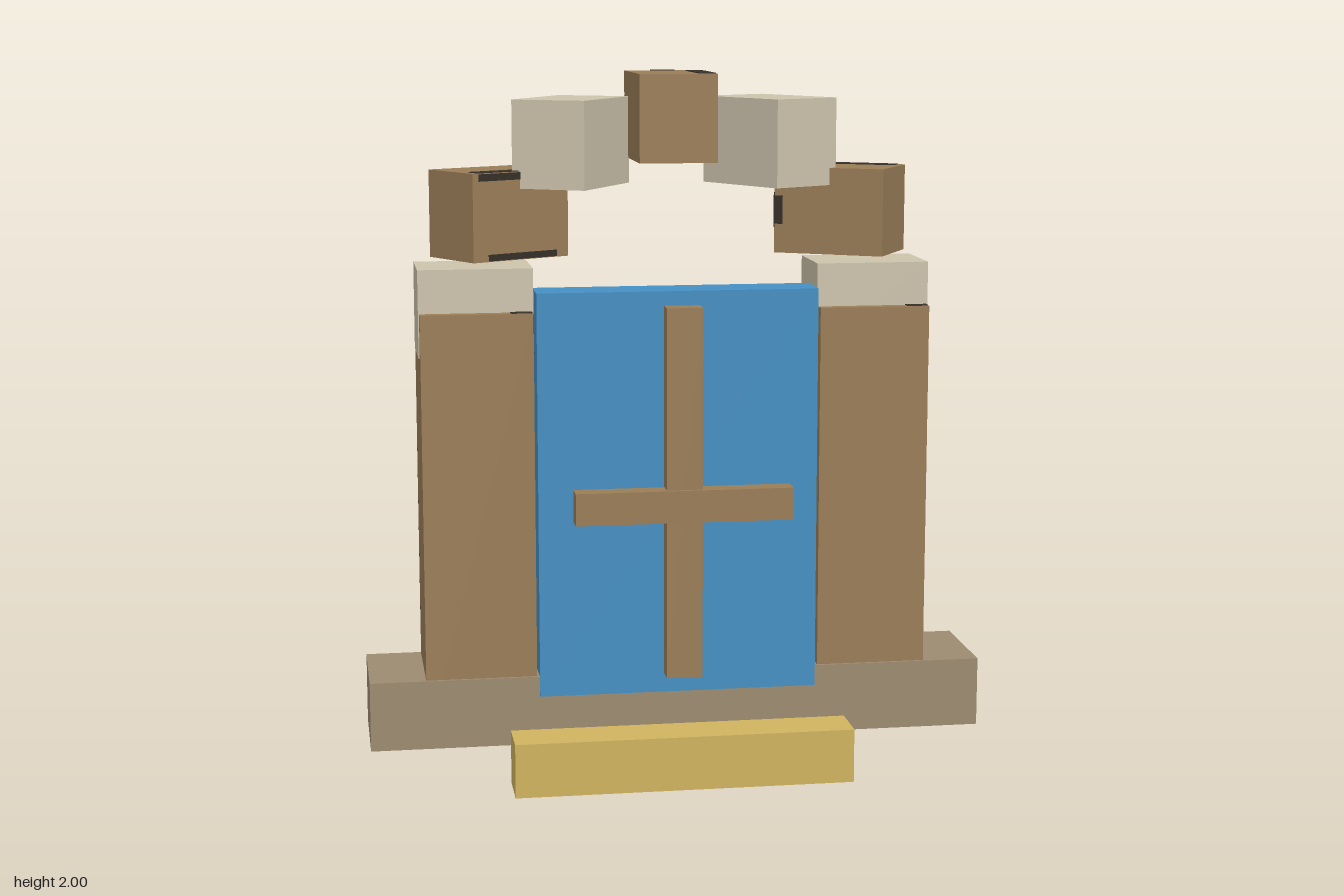
import * as THREE from 'three';

const mat = (name, color) => new THREE.MeshStandardMaterial({ name, color });

export function createModel() {
  const root = new THREE.Group();
  root.name = 'archedWindow';
  const wood = mat('brown', 0x9a7d57);
  const pale = mat('paleStone', 0xcdc3ac);
  const stone = mat('greyBrownStone', 0x9d8b71);
  const gold = mat('ochre', 0xd0b360);
  const blue = mat('blueGlass', 0x458fc2);
  const dark = mat('darkStain', 0x37302a);

  // Box given by its limits on each axis
  function slab(parent, name, material, [x0, x1], [y0, y1], [z0, z1]) {
    const m = new THREE.Mesh(new THREE.BoxGeometry(x1 - x0, y1 - y0, z1 - z0), material);
    m.position.set((x0 + x1) / 2, (y0 + y1) / 2, (z0 + z1) / 2);
    m.name = name;
    parent.add(m);
    return m;
  }
  const thin = (v) => [v - 0.002, v + 0.002];

  // Base, front step and window pane
  slab(root, 'base', stone, [-0.88, 0.88], [0.11, 0.308], [-0.213, 0.102]);
  slab(root, 'frontStep', gold, [-0.485, 0.482], [0, 0.155], [0.108, 0.246]);
  slab(root, 'pane', blue, [-0.4, 0.395], [0.25, 1.402], [-0.03, 0.105]);

  // Crossed window bars
  slab(root, 'verticalBar', wood, [-0.052, 0.049], [0.32, 1.368], [0.156, 0.214]);
  slab(root, 'horizontalBar', wood, [-0.308, 0.304], [0.768, 0.859], [0.166, 0.226]);

  // Pillars with capitals and dark stains
  for (const [side, c] of [['right', -0.564], ['left', 0.561]]) {
    const g = new THREE.Group();
    g.name = side + 'Pillar';
    g.position.x = c;
    slab(g, 'shaft', wood, [-0.157, 0.157], [0.115, 1.345], [-0.2, 0.094]);
    slab(g, 'capital', pale, [-0.16, 0.16], [1.22, 1.467], [-0.162, 0.06]);
    slab(g, 'backStain', dark, [-0.157, 0.11], [0.44, 0.93], thin(-0.2));
    slab(g, 'topBackStain', dark, [-0.055, 0.06], thin(1.345), [-0.2, -0.184]);
    slab(g, 'topFrontStain', dark, [0.095, 0.155], thin(1.345), [0.06, 0.088]);
    slab(g, 'sideStain', dark, thin(0.157), [1.23, 1.34], [0.06, 0.082]);
    root.add(g);
  }

  // Arch blocks, each turned about the vertical axis
  function archBlock(name, material, x, y, degrees) {
    const g = new THREE.Group();
    g.name = name;
    g.position.set(x, y, -0.055);
    g.rotation.y = THREE.MathUtils.degToRad(degrees);
    const w = 0.109, h = 0.122, d = 0.16;
    slab(g, 'block', material, [-w, w], [-h, h], [-d, d]);
    if (material === wood) {
      slab(g, 'topStain', dark, [0.06, 0.106], thin(h), [-0.11, 0.14]);
      slab(g, 'topEndStain', dark, [-0.035, 0.035], thin(h), [-d, -0.145]);
      slab(g, 'backStain', dark, [-w, 0.08], [-0.05, 0.05], thin(-d));
      slab(g, 'sideUpperStain', dark, thin(w), [0.1, 0.12], [-0.12, 0.14]);
      slab(g, 'sideLowerStain', dark, thin(w), [-0.12, -0.102], [-0.12, 0.11]);
      slab(g, 'sideEndStain', dark, thin(-w), [-0.04, 0.04], [-d, -0.135]);
    }
    root.add(g);
  }
  archBlock('keystone', wood, -0.002, 1.878, 0);
  for (const s of [-1, 1]) {
    const side = s < 0 ? 'right' : 'left';
    archBlock(side + 'UpperArchBlock', pale, s * 0.282, 1.808, s * 30);
    archBlock(side + 'LowerArchBlock', wood, s * 0.488, 1.612, s * 60);
  }
  return root;
}
